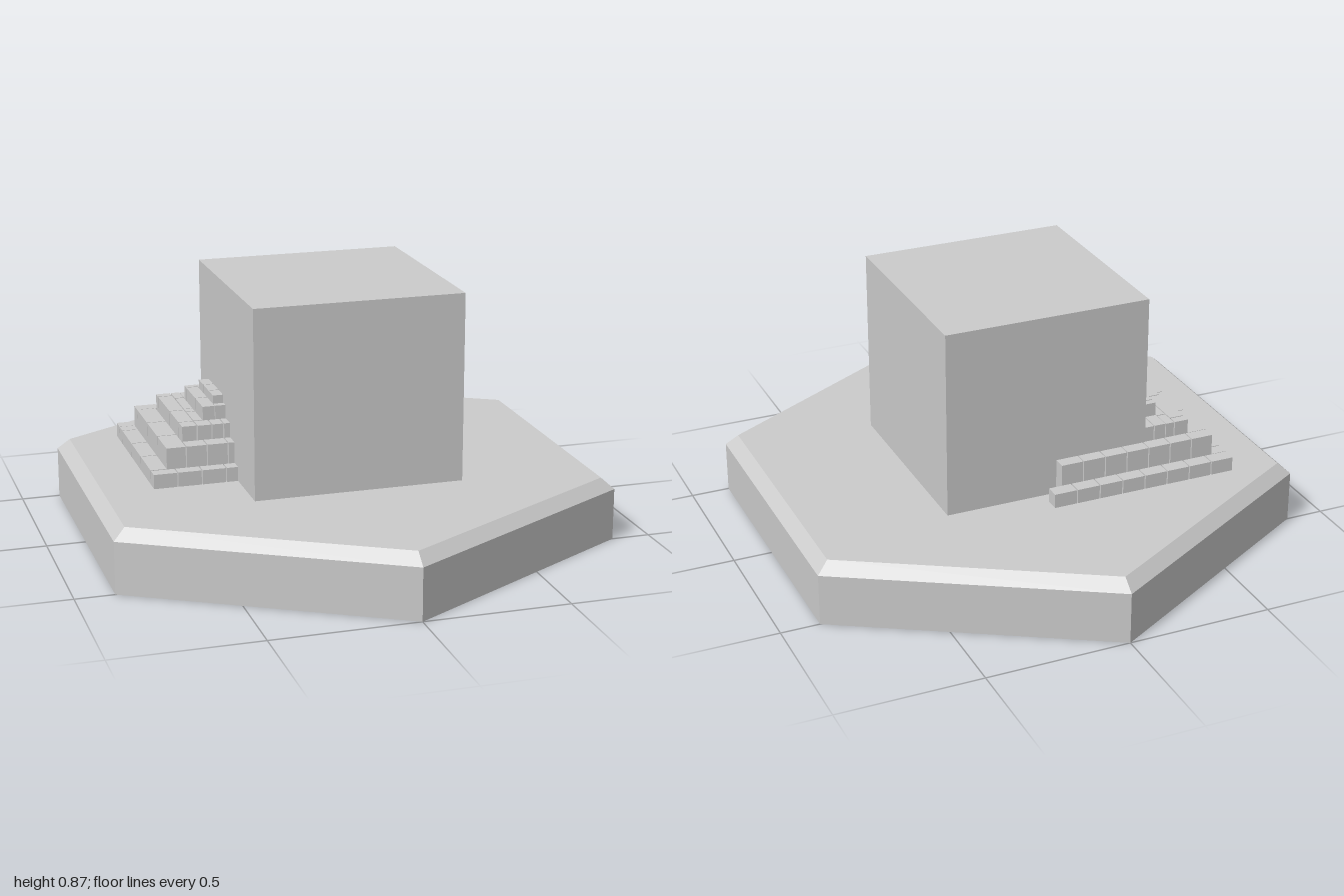
import * as THREE from 'three';

const material = new THREE.MeshStandardMaterial({ color: 0xcccccc, flatShading: true });
const GAP = 0.004;

function addBox(parent, name, x0, x1, y0, y1, z0, z1) {
  const mesh = new THREE.Mesh(new THREE.BoxGeometry(x1 - x0, y1 - y0, z1 - z0), material);
  mesh.position.set((x0 + x1) / 2, (y0 + y1) / 2, (z0 + z1) / 2);
  mesh.name = name;
  parent.add(mesh);
}

// Row of bricks between successive cuts along 'x' or 'z'
function addRow(parent, axis, cuts, a0, a1, y0, y1) {
  for (let i = 0; i < cuts.length - 1; i++) {
    const b0 = cuts[i], b1 = cuts[i + 1] - GAP;
    if (axis === 'x') addBox(parent, 'brick', b0, b1, y0, y1, a0, a1);
    else addBox(parent, 'brick', a0, a1, y0, y1, b0, b1);
  }
}

const even = (start, end, n) => Array.from({ length: n + 1 }, (_, i) => start + (end - start) * i / n);

export function createModel() {
  const model = new THREE.Group();
  model.name = 'blockOnPlinth';

  // Hexagonal base with bevelled top edge
  const profile = [[0, 0], [1, 0], [1, 0.18], [0.953, 0.218], [0, 0.218]].map(p => new THREE.Vector2(...p));
  const base = new THREE.Mesh(new THREE.LatheGeometry(profile, 6), material);
  base.name = 'hexagonalBase';
  model.add(base);

  // Large block
  addBox(model, 'block', -0.364, 0.364, 0.218, 0.872, -0.364, 0.364);

  // Stepped brick pile around the back corner of the block
  const bricks = new THREE.Group();
  bricks.name = 'brickSteps';
  model.add(bricks);

  // First course: back row, side row, front row
  addRow(bricks, 'x', even(-0.655, 0.02, 8), -0.46, -0.411, 0.218, 0.268);
  addRow(bricks, 'z', [-0.409, -0.36, -0.207, -0.055, 0.102], -0.655, -0.599, 0.218, 0.268);
  addRow(bricks, 'x', even(-0.655, -0.318, 4), 0.104, 0.148, 0.218, 0.268);

  // Second course
  addRow(bricks, 'x', even(-0.6, -0.028, 7), -0.409, -0.362, 0.218, 0.342);
  addRow(bricks, 'z', [-0.36, -0.195, -0.035, 0.102], -0.6, -0.534, 0.218, 0.342);
  addRow(bricks, 'x', [-0.6, -0.53, -0.457, -0.384, -0.31], 0.047, 0.104, 0.218, 0.342);

  // Third course: two side rows and a front row
  addRow(bricks, 'z', [-0.36, -0.325, -0.145, -0.01, 0.045], -0.53, -0.48, 0.218, 0.393);
  addRow(bricks, 'z', [-0.36, -0.29, -0.155, -0.12, -0.012], -0.476, -0.446, 0.218, 0.393);
  addRow(bricks, 'x', [-0.476, -0.425, -0.384, -0.33], -0.01, 0.045, 0.218, 0.393);
  addRow(bricks, 'x', [-0.444, -0.4, -0.33], -0.358, -0.285, 0.218, 0.393);

  // Fourth and fifth courses
  addRow(bricks, 'z', [-0.283, -0.255, -0.12, -0.01], -0.444, -0.402, 0.218, 0.44);
  addRow(bricks, 'x', [-0.4, -0.33], -0.283, -0.25, 0.218, 0.44);
  addRow(bricks, 'x', [-0.4, -0.33], -0.04, -0.014, 0.218, 0.44);
  addRow(bricks, 'z', [-0.248, -0.18, -0.105, -0.04], -0.4, -0.33, 0.218, 0.468);

  return model;
}
